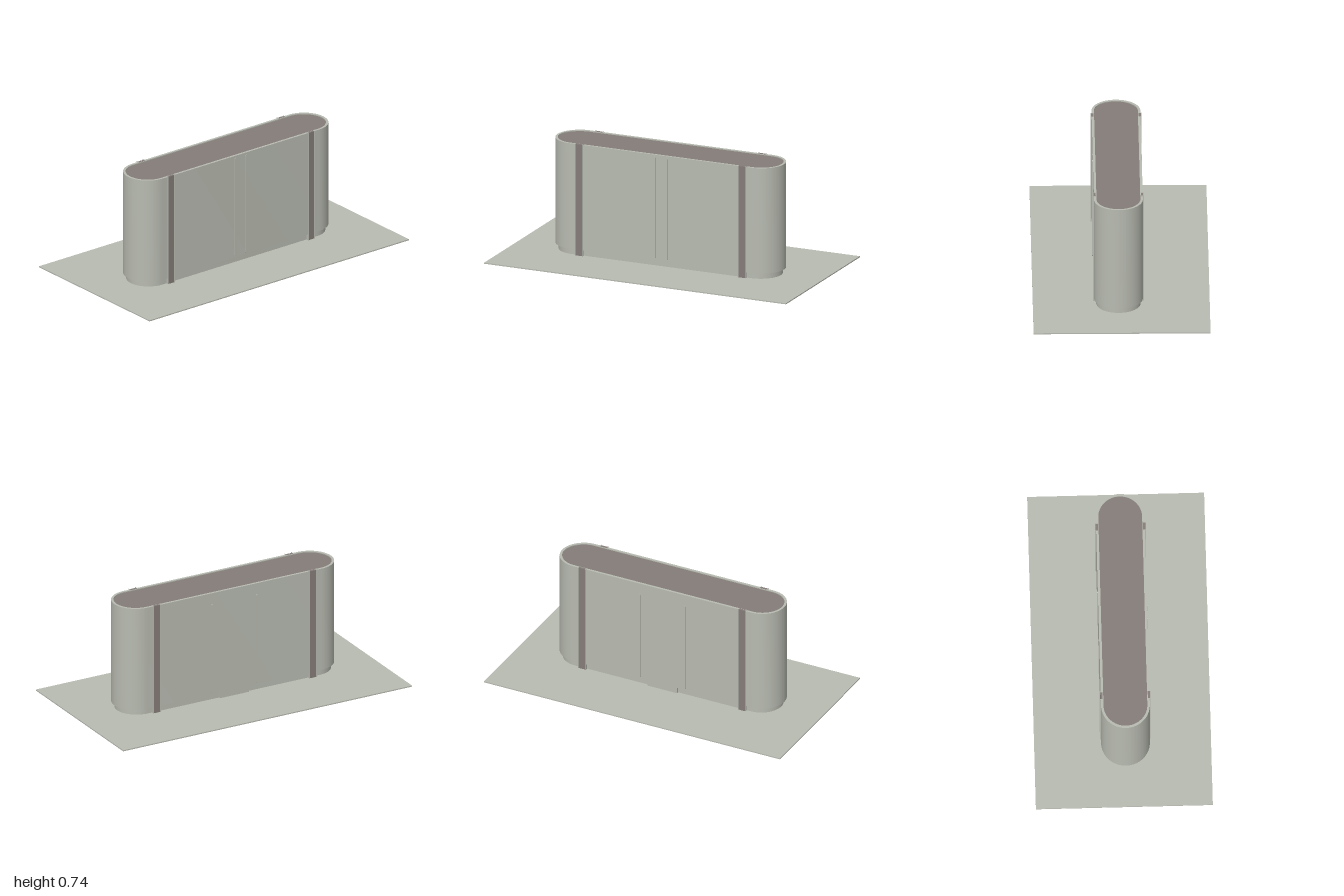
import * as THREE from 'three';
import { toCreasedNormals } from 'three/addons/utils/BufferGeometryUtils.js';

const CZ = 0.017; // depth centre of the cabinet on its base plate

// Rounded-end (stadium) outline in plan
function stadium(Type, halfX, r) {
  const s = new Type();
  const a = halfX - r;
  s.moveTo(-a, -r);
  s.lineTo(a, -r);
  s.absarc(a, 0, r, -Math.PI / 2, Math.PI / 2, false);
  s.lineTo(-a, r);
  s.absarc(-a, 0, r, Math.PI / 2, Math.PI * 1.5, false);
  return s;
}

// Extrude a plan outline upward from y0 to y1
function extrudeUp(shape, y0, y1) {
  const g = new THREE.ExtrudeGeometry(shape, { depth: y1 - y0, bevelEnabled: false, curveSegments: 32 });
  g.rotateX(-Math.PI / 2);
  g.translate(0, y0, CZ);
  return toCreasedNormals(g, 0.6);
}

export function createModel() {
  const group = new THREE.Group();
  const grey = new THREE.MeshStandardMaterial({ color: 0xb8bbb1 });
  grey.name = 'pale grey';
  const brown = new THREE.MeshStandardMaterial({ color: 0x857c79 });
  brown.name = 'warm brown grey';

  const add = (name, geometry, material) => {
    const m = new THREE.Mesh(geometry, material);
    m.name = name;
    group.add(m);
    return m;
  };
  // Box from min and max corners
  const box = (name, x0, x1, y0, y1, z0, z1, material) =>
    add(name, new THREE.BoxGeometry(x1 - x0, y1 - y0, Math.abs(z1 - z0)), material)
      .position.set((x0 + x1) / 2, (y0 + y1) / 2, (z0 + z1) / 2);

  // Base plate and set-back plinth
  box('basePlate', -1, 1, 0.033, 0.04, -0.533, 0.533, grey);
  add('plinth', extrudeUp(stadium(THREE.Shape, 0.73, 0.134), 0.04, 0.08), grey);

  // Cabinet shell with a thin rim around the top panel
  const shell = stadium(THREE.Shape, 0.75, 0.147);
  shell.holes.push(stadium(THREE.Path, 0.735, 0.132));
  add('cabinetShell', extrudeUp(shell, 0.077, 0.74), grey);
  add('topPanel', extrudeUp(stadium(THREE.Shape, 0.735, 0.132), 0.728, 0.735), brown);

  // Vertical strips: brown face held between slim flanges, on both sides
  for (const side of [-1, 1]) {
    for (const x of [-0.54, 0.54]) {
      const inner = CZ + side * 0.136;
      box('strip', x - 0.022, x + 0.022, 0.04, 0.741, inner, CZ + side * 0.15, brown);
      for (const e of [-1, 1]) {
        const ex = x + e * 0.0235;
        box('stripFlange', ex - 0.0015, ex + 0.0015, 0.04, 0.744, inner, CZ + side * 0.153, grey);
      }
    }
  }

  // Slim round-ended door pulls: close pair in front, wider and shorter pair behind
  function pull(name, x, y0, y1, side) {
    const s = stadium(THREE.Shape, (y1 - y0) / 2, 0.007);
    const g = new THREE.ExtrudeGeometry(s, { depth: 0.008, bevelEnabled: false, curveSegments: 8 });
    g.rotateZ(Math.PI / 2);
    g.translate(x, (y0 + y1) / 2, CZ + side * 0.147 - 0.004);
    add(name, g, grey);
  }
  for (const s of [-1, 1]) {
    pull('frontPull', s * 0.042, 0.085, 0.727, 1);
    pull('backPull', s * 0.154, 0.085, 0.668, -1);
  }

  // Lower cover at the middle of the back
  box('backCover', -0.1, 0.1, 0.04, 0.08, CZ - 0.147, CZ - 0.12, grey);

  // Tapered pegs and thin tabs under the base plate
  const peg = new THREE.Shape([[-0.028, 0.034], [-0.022, 0], [0.003, 0.005], [0.015, 0.034]]
    .map(([z, y]) => new THREE.Vector2(z, y)));
  const pegGeometry = new THREE.ExtrudeGeometry(peg, { depth: 0.05, bevelEnabled: false });
  pegGeometry.rotateY(Math.PI / 2);
  for (const x of [-0.247, -0.175, 0.117, 0.19]) {
    add('peg', pegGeometry, grey).position.x = x;
  }
  for (const s of [-1, 1]) {
    for (const x of [0.345, 0.42]) {
      box('underTab', s * x - 0.024, s * x + 0.024, 0.027, 0.034, -0.006, 0.006, grey);
    }
  }
  return group;
}
